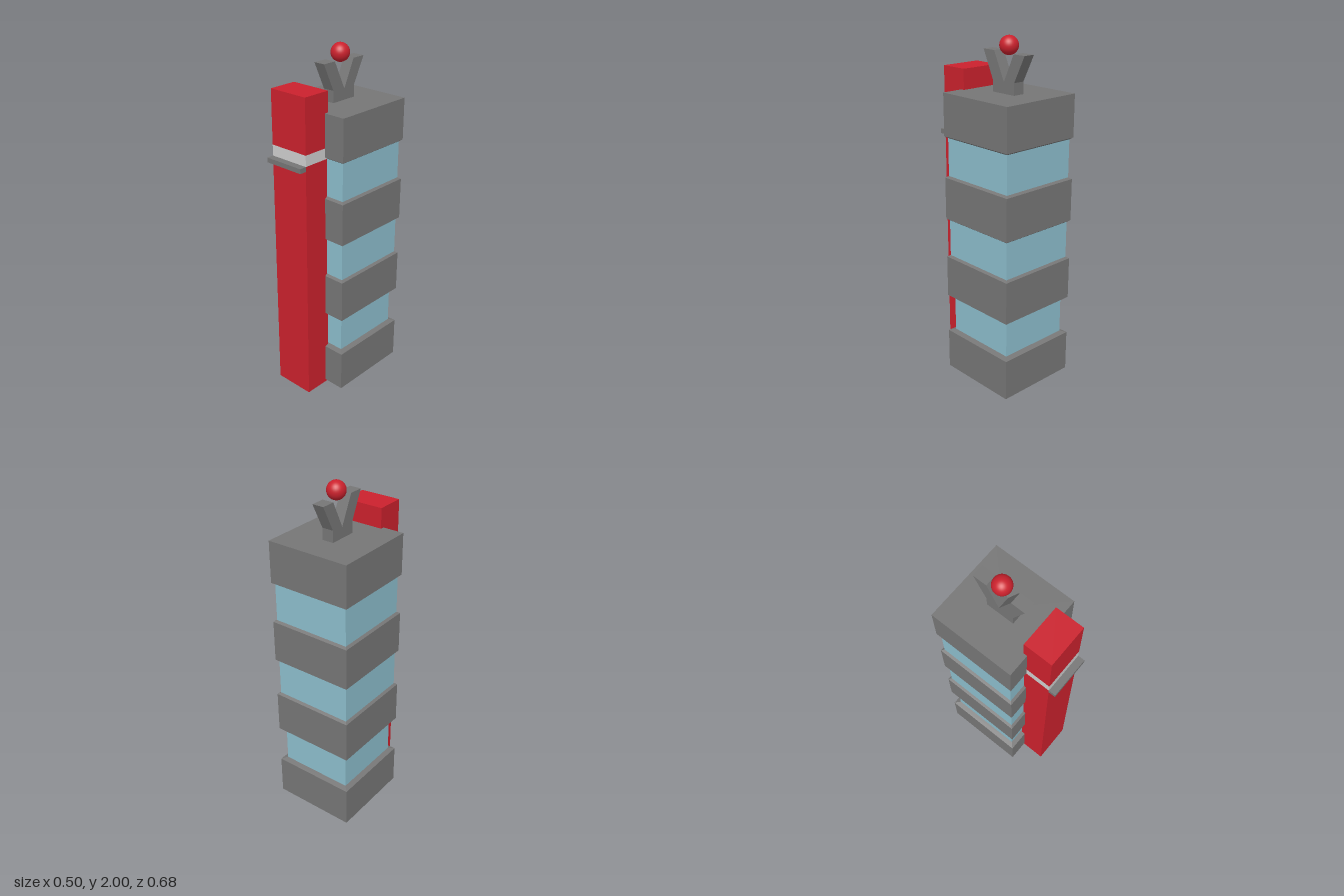
import * as THREE from 'three';

export function createModel() {
  const model = new THREE.Group();
  const material = (name, color) => {
    const m = new THREE.MeshStandardMaterial({ color });
    m.name = name;
    return m;
  };
  const gray = material('concrete gray', 0x767676);
  const red = material('red', 0xcb212d);
  const glass = material('window blue', 0x8cbdcc);
  const white = material('band white', 0xcecece);
  const axisZ = -0.093; // centre line of the square building

  const add = (name, geometry, mat, x = 0, y = 0, z = 0) => {
    const mesh = new THREE.Mesh(geometry, mat);
    mesh.name = name;
    mesh.position.set(x, y, z);
    model.add(mesh);
    return mesh;
  };

  // Box given by its width, height range and depth range
  const block = (name, mat, w, y0, y1, z0, z1) =>
    add(name, new THREE.BoxGeometry(w, y1 - y0, z1 - z0), mat, 0, (y0 + y1) / 2, (z0 + z1) / 2);

  // Square frustum around the building axis, given by half widths
  const frustum = (name, mat, lower, upper, y0, y1) => {
    const g = new THREE.CylinderGeometry(upper * Math.SQRT2, lower * Math.SQRT2, y1 - y0, 4);
    g.rotateY(Math.PI / 4);
    add(name, g.toNonIndexed(), mat, 0, (y0 + y1) / 2, axisZ).geometry.computeVertexNormals();
  };

  // Concrete floors with sloped edges leading to the window storeys
  const half = 0.249;
  const slabs = [[0.015, 0.257], [0.491, 0.738], [0.973, 1.217], [1.454, 1.695]];
  const windowHalf = [0.219, 0.234, 0.234];
  slabs.forEach(([y0, y1], i) => {
    frustum('floorBlock', gray, half, half, y0, y1);
    if (i < 3) {
      const w = windowHalf[i], next = slabs[i + 1][0];
      frustum('floorTopBevel', gray, half, w, y1, y1 + 0.01);
      frustum('windowStorey', glass, w, w, y1 + 0.01, next - 0.01);
      frustum('floorBottomBevel', gray, w, half, next - 0.01, next);
    }
  });

  // Front tower with a white band and a small ledge
  block('towerLower', red, 0.244, 0, 1.443, 0.134, 0.301);
  block('towerBand', white, 0.244, 1.443, 1.505, 0.134, 0.301);
  block('towerUpper', red, 0.244, 1.505, 1.81, 0.134, 0.301);
  block('towerLedge', gray, 0.244, 1.416, 1.443, 0.3, 0.342);

  // Forked roof support, profile drawn in z and y
  const profile = [
    [-0.168, 1.69], [-0.003, 1.69], [-0.003, 1.762], [0.069, 1.917], [-0.014, 1.917],
    [-0.09, 1.757], [-0.162, 1.91], [-0.243, 1.91], [-0.168, 1.762],
  ];
  const shape = new THREE.Shape(profile.map(([z, y]) => new THREE.Vector2(z, y)));
  const fork = new THREE.ExtrudeGeometry(shape, { depth: 0.068, bevelEnabled: false });
  fork.translate(0, 0, -0.034);
  fork.rotateY(-Math.PI / 2);
  add('roofFork', fork, gray);

  // Ball held above the fork
  add('roofBall', new THREE.SphereGeometry(0.052, 32, 20), red, 0, 1.948, axisZ);

  return model;
}
